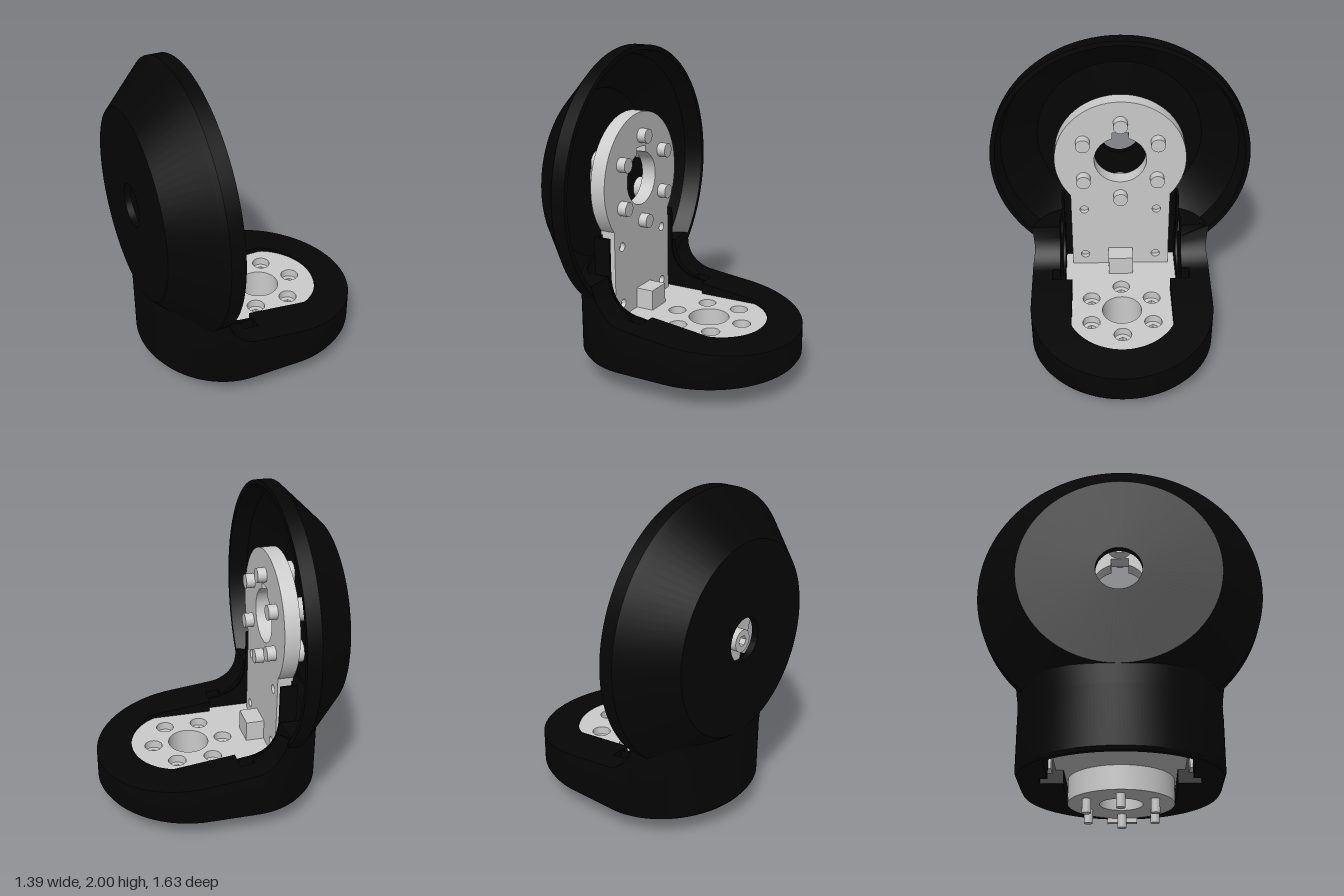
import * as THREE from 'three';
import { toCreasedNormals } from 'three/addons/utils/BufferGeometryUtils.js';

const grey = new THREE.MeshStandardMaterial({ color: 0xcccccc });
const black = new THREE.MeshStandardMaterial({ color: 0x050505 });
const CX = 0.11, CY = 1.18; // centres of the floor flange and the upright flange

function add(parent, name, geometry, material) {
  const mesh = new THREE.Mesh(geometry, material);
  mesh.name = name;
  parent.add(mesh);
  return mesh;
}

function circleHole(x, y, r) {
  return new THREE.Path().absarc(x, y, r, 0, Math.PI * 2, true);
}

function extrude(shape, depth) {
  return toCreasedNormals(
    new THREE.ExtrudeGeometry(shape, { depth, bevelEnabled: false, curveSegments: 40 }), 0.5);
}

// Socket-head bolt: head from z = 0 to -headLen, shank from 0 to +shankLen
function bolt(name, headR, headLen, shankR, shankLen) {
  const g = new THREE.Group();
  g.name = name;
  const shape = new THREE.Shape().absarc(0, 0, headR, 0, Math.PI * 2, false);
  const hex = [];
  for (let i = 0; i < 6; i++) {
    const a = -i * Math.PI / 3;
    hex.push(new THREE.Vector2(Math.cos(a), Math.sin(a)).multiplyScalar(headR * 0.5));
  }
  shape.holes.push(new THREE.Path(hex));
  add(g, 'boltHead', extrude(shape, headLen).translate(0, 0, -headLen), grey);
  const len = shankLen + headLen * 0.4;
  add(g, 'boltShank', new THREE.CylinderGeometry(shankR, shankR, len, 24)
    .rotateX(Math.PI / 2).translate(0, 0, shankLen - len / 2), grey);
  return g;
}

// Height of the base rim: gentle slope, then a fillet up into the dish
function rimTop(x) {
  if (x > -0.15) return 0.33 + (0.69 - x) * 0.115;
  const u = Math.min(1, (-0.15 - x) / 0.21);
  return 0.427 + 0.235 * (1 - Math.sqrt(1 - u * u));
}

// Base wall: a closed loop of wall cross-sections around the plan outline
function baseWall() {
  const half = []; // [outerX, outerZ, innerX, innerZ]
  for (let i = 0; i <= 24; i++) {
    const a = i / 24 * Math.PI / 2, c = Math.cos(a), s = Math.sin(a);
    half.push([CX + 0.58 * c, 0.58 * s, CX + 0.36 * c, Math.min(0.32, 0.36 * s)]);
  }
  // Straight side, with a pocket for the lug
  for (const [x, z] of [[0, 0.32], [-0.109, 0.32], [-0.111, 0.45], [-0.15, 0.45], [-0.199, 0.45]]) {
    half.push([x, 0.58, x, z]);
  }
  for (let i = 0; i <= 48; i++) {
    const b = (1 - i / 48) * Math.PI / 2, c = Math.cos(b), s = Math.sin(b);
    half.push([-0.2 - 0.5 * c, 0.58 * s, -0.2 - 0.46 * c, Math.min(0.4, 0.54 * s)]);
  }
  const mirrored = half.slice(1, -1).reverse().map(([a, b, c, d]) => [a, -b, c, -d]);
  const rings = [...half, ...mirrored].map(([ox, oz, ix, iz]) => {
    const t = rimTop(ox);
    const flare = 1 + 0.06 * THREE.MathUtils.smoothstep(t, 0.48, 0.66);
    return [
      [ox * 0.98, 0.14, oz * 0.98], [ox, 0.16, oz], [ox, Math.min(t - 0.02, 0.5), oz],
      [ox, t, oz * flare], [ix, rimTop(ix), iz], [ix, 0.14, iz],
    ];
  });
  const pos = [], n = rings.length, m = rings[0].length;
  for (let i = 0; i < n; i++) {
    for (let j = 0; j < m; j++) {
      const p = rings[i], q = rings[(i + 1) % n], k = (j + 1) % m;
      pos.push(...p[j], ...p[k], ...q[k], ...p[j], ...q[k], ...q[j]);
    }
  }
  const g = new THREE.BufferGeometry();
  g.setAttribute('position', new THREE.Float32BufferAttribute(pos, 3));
  return toCreasedNormals(g, 0.6);
}

// Revolve a (radius, x) profile about the dish axis, leaving a gap at the bottom
function revolve(profile, gap) {
  const g = new THREE.LatheGeometry(profile.map(p => new THREE.Vector2(...p)), 96,
    Math.PI / 2 + gap, Math.PI * 2 - 2 * gap);
  return toCreasedNormals(g.rotateZ(-Math.PI / 2).translate(0, CY, 0), 0.4);
}

export function createModel() {
  const model = new THREE.Group();
  model.name = 'angleBracket';

  // Black cover: base wall, hollow conical dish and its rim
  add(model, 'baseCover', baseWall(), black);
  add(model, 'dishCover', revolve([[0.13, -0.7], [0.57, -0.7], [0.791, -0.47], [0.76, -0.47],
    [0.535, -0.66], [0.13, -0.66], [0.13, -0.7]], 0), black);
  add(model, 'dishRim', revolve([[0.785, -0.476], [0.815, -0.445], [0.815, -0.36],
    [0.785, -0.36], [0.755, -0.476]], 0.71), black);

  // Thin curved webs beside the plates
  const web = new THREE.Shape();
  web.moveTo(-0.47, 0.3);
  web.lineTo(-0.11, 0.3);
  web.lineTo(-0.11, 0.42);
  web.lineTo(-0.15, 0.427);
  web.quadraticCurveTo(-0.36, 0.44, -0.365, 0.66);
  web.lineTo(-0.365, 0.89);
  web.lineTo(-0.47, 0.89);
  for (const s of [-1, 1]) {
    add(model, 'sideWeb', extrude(web, 0.016).translate(0, 0, s * 0.372 - 0.008), black);
    add(model, 'webBack', new THREE.BoxGeometry(0.02, 0.5, 0.06).translate(-0.46, 0.64, s * 0.345), black);
    add(model, 'sideLug', new THREE.BoxGeometry(0.09, 0.1, 0.07).translate(-0.155, 0.25, s * 0.418), grey);
  }

  // Upright plate with keyed bore
  const up = new THREE.Shape();
  const a = Math.acos(0.32 / 0.415);
  up.moveTo(-0.32, 0.22);
  up.lineTo(0.32, 0.22);
  up.absarc(0, CY, 0.415, -a, Math.PI + a, false);
  up.closePath();
  const bore = new THREE.Path();
  const k = Math.asin(0.05 / 0.165);
  bore.absarc(0, CY, 0.165, Math.PI / 2 - k, -Math.PI * 1.5 + k, true);
  bore.lineTo(-0.05, CY + 0.2);
  bore.lineTo(0.05, CY + 0.2);
  bore.closePath();
  up.holes.push(bore);
  // Small screw holes, each closed by a sunken screw
  for (const z of [-0.235, 0.235]) {
    for (const y of [0.43, 0.8]) {
      up.holes.push(circleHole(z, y, 0.028));
      add(model, 'smallScrew', new THREE.CylinderGeometry(0.028, 0.028, 0.06, 20)
        .rotateZ(Math.PI / 2).translate(-0.425, y, z), grey);
    }
  }
  add(model, 'uprightPlate', extrude(up, 0.095).rotateY(Math.PI / 2).translate(-0.46, 0, 0), grey);

  // Floor plate with counterbored holes
  const bolts = [...Array(6).keys()].map(i => i * Math.PI / 3);
  const floor = new THREE.Shape();
  const f = Math.asin(0.325 / 0.37);
  floor.moveTo(-0.1, -0.325);
  floor.absarc(CX, 0, 0.37, -f, f, false);
  for (const [x, z] of [[-0.1, 0.325], [-0.1, 0.364], [-0.47, 0.364], [-0.47, -0.364], [-0.1, -0.364]]) {
    floor.lineTo(x, z);
  }
  floor.closePath();
  floor.holes.push(circleHole(CX, 0, 0.125));
  for (const t of bolts) {
    floor.holes.push(circleHole(CX + 0.225 * Math.cos(t), 0.225 * Math.sin(t), 0.055));
  }
  add(model, 'floorPlate', extrude(floor, 0.13).rotateX(Math.PI / 2).translate(0, 0.35, 0), grey);

  // Mounting disc and locating key under the floor
  const disc = new THREE.Shape().absarc(CX, 0, 0.31, 0, Math.PI * 2, false);
  disc.holes.push(circleHole(CX, 0, 0.125));
  add(model, 'mountingDisc', extrude(disc, 0.14).rotateX(Math.PI / 2).translate(0, 0.22, 0), grey);
  add(model, 'locatingKey', new THREE.BoxGeometry(0.045, 0.17, 0.18).translate(0.4375, 0.14, 0), grey);

  // Stop block in the corner of the plates
  add(model, 'stopBlock', new THREE.BoxGeometry(0.13, 0.14, 0.16).translate(-0.315, 0.41, 0), grey);

  // Bolt circles
  for (const t of bolts) {
    const low = bolt('floorBolt', 0.054, 0.08, 0.026, 0.22);
    low.rotation.x = Math.PI / 2;
    low.position.set(CX + 0.225 * Math.cos(t), 0.22, 0.225 * Math.sin(t));
    const high = bolt('uprightBolt', 0.07, 0.07, 0.045, 0.15);
    high.rotation.y = Math.PI / 2;
    high.position.set(-0.46, CY + 0.27 * Math.cos(t), 0.27 * Math.sin(t));
    model.add(low, high);
  }
  return model;
}
